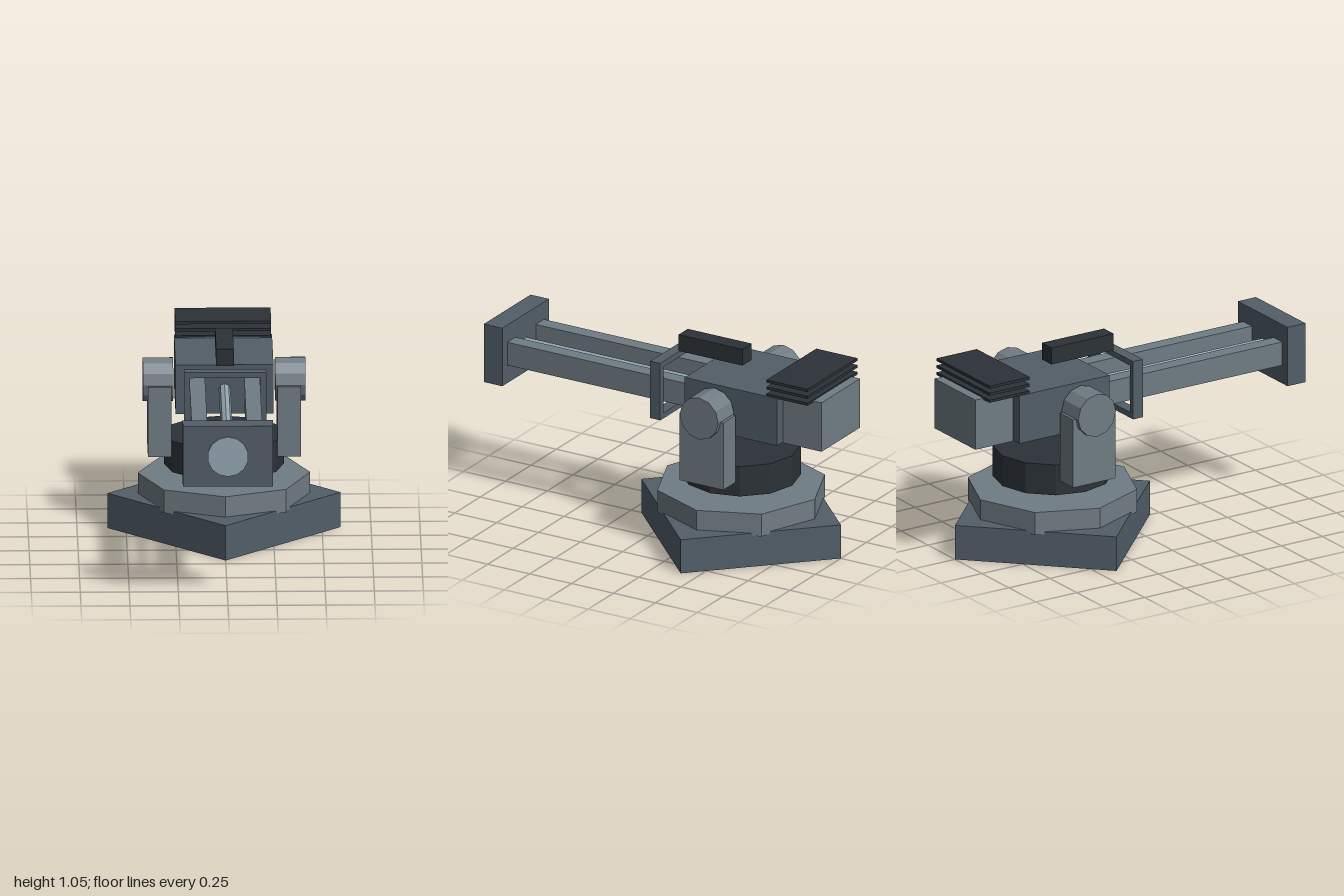
import * as THREE from 'three';

const mat = (color) => new THREE.MeshStandardMaterial({ color, flatShading: true });

export function createModel() {
  const model = new THREE.Group();
  model.name = 'turret';
  const steel = mat(0x525e68), light = mat(0x707c84), dark = mat(0x2c3238), glow = mat(0x93a6b2);
  const axisZ = -0.405, boreY = 0.79;

  const add = (name, geometry, material, x, y, z) => {
    const mesh = new THREE.Mesh(geometry, material);
    mesh.name = name;
    mesh.position.set(x, y, z);
    model.add(mesh);
    return mesh;
  };
  // Box given by its limits on each axis
  const box = (name, material, [x0, x1], [y0, y1], [z0, z1]) =>
    add(name, new THREE.BoxGeometry(x1 - x0, y1 - y0, z1 - z0), material,
      (x0 + x1) / 2, (y0 + y1) / 2, (z0 + z1) / 2);
  // Upright prism on the turning axis
  const prism = (name, material, radius, sides, y0, y1) =>
    add(name, new THREE.CylinderGeometry(radius, radius, y1 - y0, sides), material, 0, (y0 + y1) / 2, axisZ);

  // Base, ring and turning drum
  prism('base', steel, 0.595, 4, 0, 0.185);
  prism('baseRing', light, 0.44, 8, 0.17, 0.293);
  prism('drum', dark, 0.305, 12, 0.34, 0.505);

  // Gun housing with rear block
  box('housing', steel, [-0.25, 0.25], [0.66, 0.92], [-0.77, -0.22]);
  box('rearBlock', light, [-0.19, 0.19], [0.655, 0.925], [-1, -0.7]);

  // Stack of cooling fins
  for (let i = 0; i < 3; i++) {
    const y = 0.917 + i * 0.038;
    box('coolingFin', dark, [-0.245, 0.245], [y, y + 0.015], [-0.95, -0.705]);
  }

  // Sight
  box('sight', dark, [-0.045, 0.045], [0.96, 1.05], [-0.44, -0.06]);

  // Mirrored brackets, pivots and rails
  for (const s of [-1, 1]) {
    const side = s > 0 ? 'left' : 'right';
    const span = (a, b) => (s > 0 ? [a, b] : [-b, -a]);
    box(side + 'Bracket', light, span(0.27, 0.39), [0.415, 0.785], [axisZ - 0.13, axisZ + 0.13]);
    const pivot = add(side + 'Pivot', new THREE.CylinderGeometry(0.115, 0.115, 0.155, 12), light,
      s * 0.3375, boreY, axisZ);
    pivot.rotation.z = Math.PI / 2;
    box(side + 'Rail', light, span(0.1, 0.18), [0.728, 0.855], [-0.22, 0.885]);
  }

  // Central rod between the rails
  const rod = add('centralRod', new THREE.CylinderGeometry(0.03, 0.03, 1.12, 8), glow, 0, boreY, 0.325);
  rod.rotation.x = Math.PI / 2;

  // Open collar around the rails
  const rect = (path, w, h) => path.moveTo(-w, -h).lineTo(w, -h).lineTo(w, h).lineTo(-w, h).closePath();
  const frame = new THREE.Shape();
  rect(frame, 0.21, 0.157);
  const opening = new THREE.Path();
  rect(opening, 0.18, 0.127);
  frame.holes.push(opening);
  add('collar', new THREE.ExtrudeGeometry(frame, { depth: 0.06, bevelEnabled: false }), steel, 0, boreY, -0.05);

  // Muzzle plate and its disc
  box('muzzlePlate', steel, [-0.23, 0.23], [0.63, 0.95], [0.88, 0.99]);
  const disc = add('muzzleDisc', new THREE.CylinderGeometry(0.105, 0.105, 0.03, 14), glow, 0, boreY, 0.985);
  disc.rotation.x = Math.PI / 2;

  return model;
}
